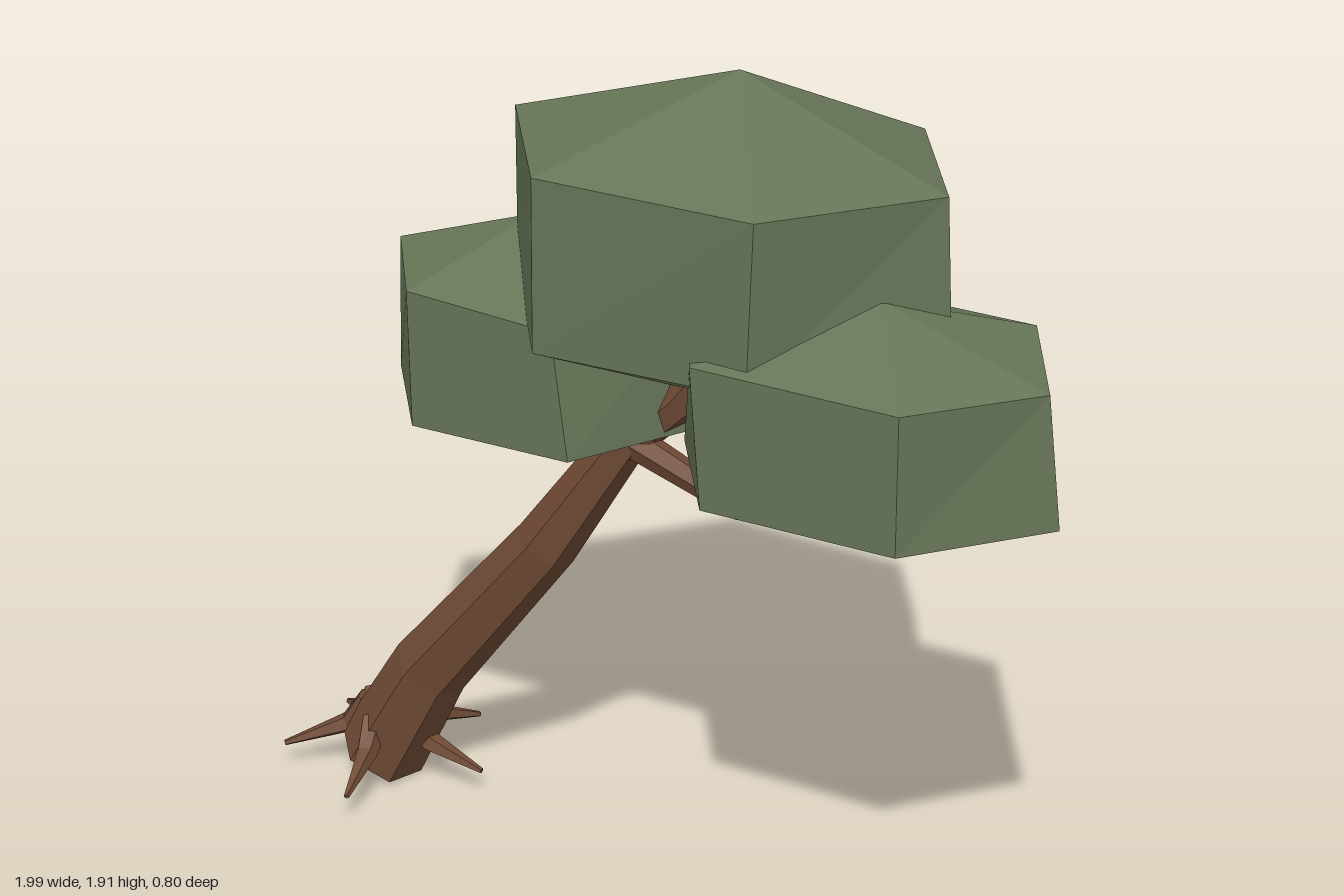
import * as THREE from 'three';

const bark = new THREE.MeshStandardMaterial({ color: 0x6f4a35 });
bark.name = 'bark';
const leaves = new THREE.MeshStandardMaterial({ color: 0x667557 });
leaves.name = 'leaves';

const V = (p) => new THREE.Vector3(...p);

// Flat-faced skin over stacked six-point rings, closed by a point at each end
function loft(rings, startPole, endPole) {
  const sides = rings[0].length;
  const points = [...rings.flat(), startPole, endPole];
  const start = points.length - 2, end = points.length - 1;
  const last = (rings.length - 1) * sides;
  const index = [];
  for (let j = 0; j < sides; j++) {
    const k = (j + 1) % sides;
    index.push(start, j, k, end, last + k, last + j);
    for (let i = 0; i < rings.length - 1; i++) {
      const a = i * sides + j, b = i * sides + k;
      index.push(a, a + sides, b, b, a + sides, b + sides);
    }
  }
  const indexed = new THREE.BufferGeometry().setFromPoints(points);
  indexed.setIndex(index);
  const geometry = indexed.toNonIndexed();
  geometry.computeVertexNormals();
  return geometry;
}

// Tapered limb along a path of [x, y, z, radius]
function limb(name, path, reference, sides = 6, twist = -0.33) {
  const centres = path.map((p) => V(p.slice(0, 3)));
  const rings = centres.map((c, i) => {
    const before = centres[Math.max(i - 1, 0)];
    const after = centres[Math.min(i + 1, centres.length - 1)];
    const t = after.clone().sub(before).normalize();
    const n = t.clone().cross(reference).normalize();
    const b = n.clone().cross(t);
    return Array.from({ length: sides }, (_, j) => {
      const a = twist + (j / sides) * Math.PI * 2;
      return c.clone()
        .addScaledVector(n, Math.cos(a) * path[i][3])
        .addScaledVector(b, Math.sin(a) * path[i][3]);
    });
  });
  const mesh = new THREE.Mesh(loft(rings, centres[0], centres[centres.length - 1]), bark);
  mesh.name = name;
  return mesh;
}

// Leaf clump: two rings of [x, y, z] corners between a bottom and a top point
function clump(name, bottom, lower, upper, top) {
  const mesh = new THREE.Mesh(loft([lower.map(V), upper.map(V)], V(bottom), V(top)), leaves);
  mesh.name = name;
  return mesh;
}

export function createModel() {
  const tree = new THREE.Group();
  tree.name = 'leaningTree';
  const alongZ = new THREE.Vector3(0, 0, 1);
  const alongY = new THREE.Vector3(0, 1, 0);

  // Leaning trunk
  tree.add(limb('trunk', [
    [-0.79, 0.065, 0.045, 0.108], [-0.64, 0.325, 0.043, 0.093],
    [-0.31, 0.725, 0.035, 0.074], [-0.09, 1.05, 0.01, 0.052],
  ], alongZ));

  // Branches into the clumps
  tree.add(limb('upperBranch', [
    [-0.12, 1.0, 0.01, 0.05], [0.03, 1.14, 0, 0.045], [0.15, 1.3, 0, 0.035],
  ], alongZ));
  tree.add(limb('leftBranch', [
    [-0.13, 1.03, 0.01, 0.04], [0.21, 0.94, 0.05, 0.028], [0.42, 1.08, 0.09, 0.024],
  ], alongZ));
  tree.add(limb('rightBranch', [
    [-0.14, 0.97, 0.01, 0.04], [-0.2, 1.08, -0.02, 0.03], [-0.3, 1.18, -0.04, 0.02],
  ], alongZ));

  // Roots: high start on the trunk, elbow, tip
  const roots = [
    [[-0.82, 0.19, 0.02], [-0.87, 0.125, -0.01], [-0.995, 0.075, -0.1]],
    [[-0.82, 0.19, 0.05], [-0.87, 0.125, 0.07], [-0.995, 0.075, 0.16]],
    [[-0.77, 0.17, 0.1], [-0.745, 0.12, 0.17], [-0.71, 0.075, 0.3]],
    [[-0.77, 0.17, -0.01], [-0.74, 0.12, -0.08], [-0.68, 0.075, -0.21]],
    [[-0.72, 0.17, 0.04], [-0.65, 0.115, 0.035], [-0.51, 0.075, 0.03]],
  ];
  const radii = [0.035, 0.026, 0.007];
  roots.forEach((root, i) => {
    const path = root.map((p, j) => [...p, radii[j]]);
    tree.add(limb(`root${i + 1}`, path, alongY, 5));
  });

  // Leaf clumps, corners running from +x round through the front
  tree.add(clump('topClump', [0.14, 1.17, 0],
    [[0.69, 1.34, 0], [0.41, 1.36, 0.375], [-0.11, 1.35, 0.38],
      [-0.4, 1.36, 0], [-0.1, 1.35, -0.36], [0.44, 1.34, -0.4]],
    [[0.67, 1.73, 0], [0.425, 1.74, 0.375], [-0.11, 1.74, 0.375],
      [-0.4, 1.745, 0], [-0.11, 1.74, -0.375], [0.42, 1.73, -0.365]],
    [0.17, 1.92, 0]));
  tree.add(clump('rightClump', [-0.34, 0.9, -0.04],
    [[0.045, 1.06, -0.04], [-0.11, 1.05, 0.25], [-0.53, 1.04, 0.24],
      [-0.76, 1.04, -0.04], [-0.53, 1.05, -0.32], [-0.12, 1.05, -0.33]],
    [[0.03, 1.35, -0.04], [-0.15, 1.345, 0.25], [-0.535, 1.36, 0.24],
      [-0.75, 1.36, -0.04], [-0.535, 1.36, -0.32], [-0.14, 1.35, -0.33]],
    [-0.38, 1.485, -0.04]));
  tree.add(clump('leftClump', [0.54, 0.94, 0.09],
    [[0.995, 1.09, 0.09], [0.77, 1.09, 0.385], [0.31, 1.09, 0.39],
      [0.09, 1.09, 0.09], [0.31, 1.09, -0.2], [0.78, 1.08, -0.21]],
    [[0.96, 1.385, 0.09], [0.77, 1.4, 0.385], [0.29, 1.41, 0.4],
      [0.12, 1.4, 0.09], [0.3, 1.41, -0.19], [0.78, 1.4, -0.21]],
    [0.58, 1.525, 0.12]));

  return tree;
}
